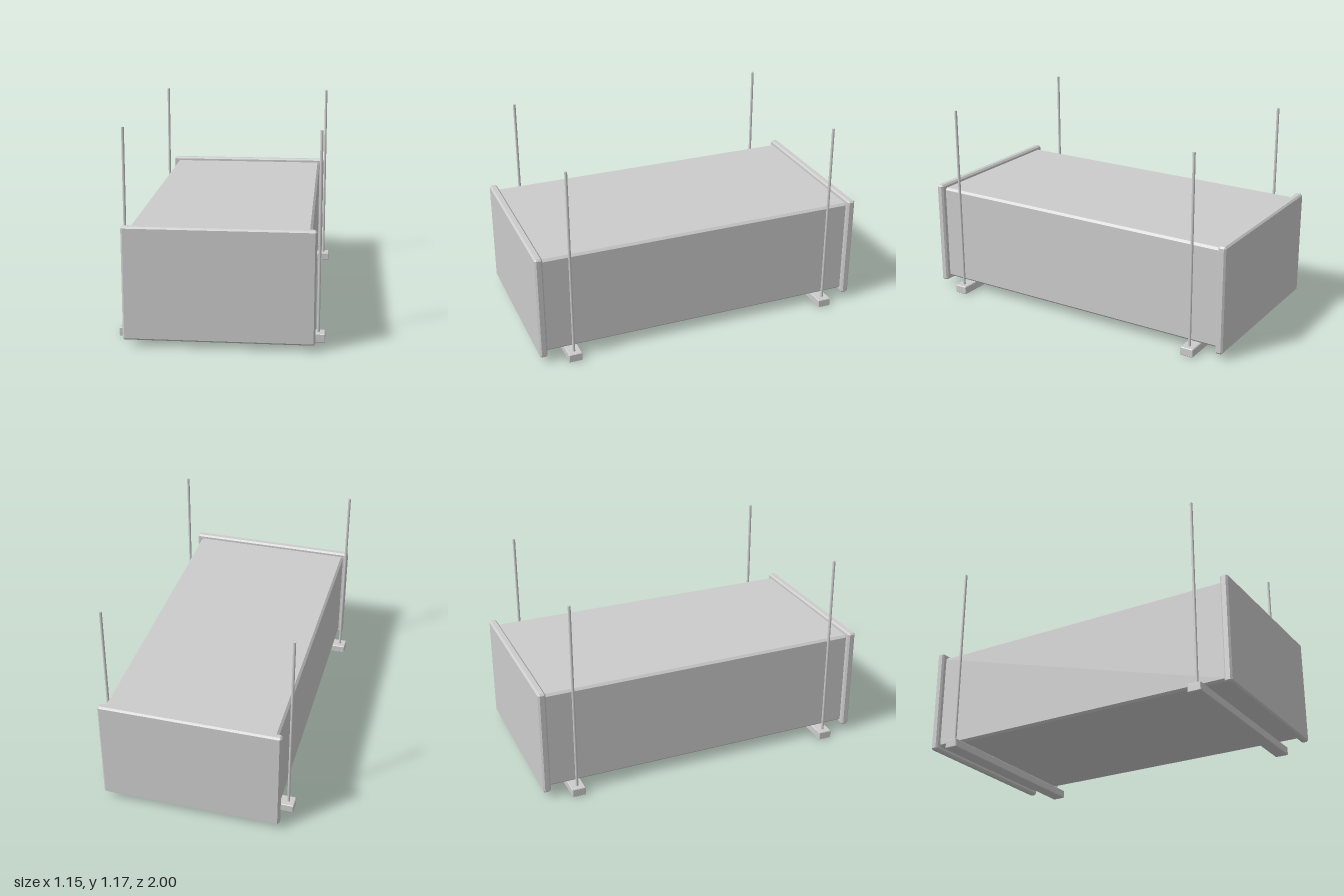
import * as THREE from 'three';
import { ConvexGeometry } from 'three/addons/geometries/ConvexGeometry.js';

const material = new THREE.MeshStandardMaterial({ color: 0xcccccc, flatShading: true });
const smooth = new THREE.MeshStandardMaterial({ color: 0xcccccc });

// Box of the given size with every edge cut by a flat chamfer c
function chamferBox(w, h, d, c) {
  const half = [w / 2, h / 2, d / 2];
  const points = [];
  for (const sx of [-1, 1]) for (const sy of [-1, 1]) for (const sz of [-1, 1]) {
    for (let full = 0; full < 3; full++) {
      const p = half.map((v, i) => (i === full ? v : v - c));
      points.push(new THREE.Vector3(p[0] * sx, p[1] * sy, p[2] * sz));
    }
  }
  return new ConvexGeometry(points);
}

export function createModel() {
  const group = new THREE.Group();
  const add = (name, geometry, x, y, z, mat = material) => {
    const mesh = new THREE.Mesh(geometry, mat);
    mesh.name = name;
    mesh.position.set(x, y, z);
    group.add(mesh);
  };

  // Long duct body
  add('body', chamferBox(0.99, 0.593, 1.93, 0.013), 0, 0.3535, 0);

  const plate = chamferBox(1.046, 0.636, 0.046, 0.01);
  const bar = chamferBox(1.146, 0.05, 0.08, 0.004);
  const rod = new THREE.CylinderGeometry(0.008, 0.008, 1.165, 16);

  for (const s of [1, -1]) {
    const end = s > 0 ? 'front' : 'back';
    // Flanged end plate
    add(`${end}Plate`, plate, 0, 0.354, s * 0.977);
    // Support bar under the body, hung on two thin rods
    add(`${end}SupportBar`, bar, 0, 0.025, s * 0.805);
    for (const side of [1, -1]) {
      add(`${end}${side > 0 ? 'Left' : 'Right'}Rod`, rod, side * 0.535, 0.5925, s * 0.805, smooth);
    }
  }
  return group;
}
